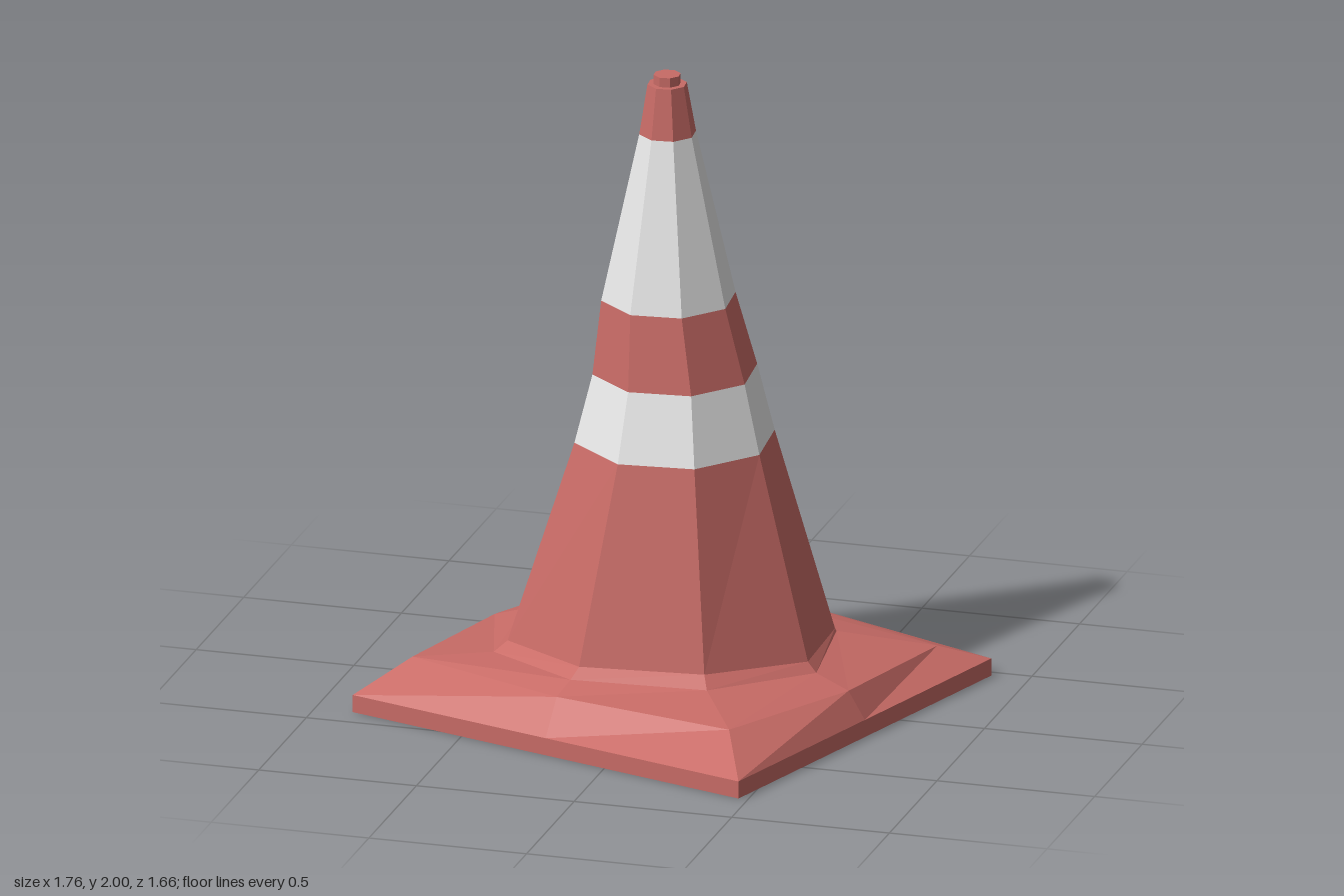
import * as THREE from 'three';

const red = new THREE.MeshStandardMaterial({ name: 'cone red', color: 0xc86b66, flatShading: true });
const white = new THREE.MeshStandardMaterial({ name: 'band white', color: 0xe8e8e8, flatShading: true });

const SIDES = 8;
const PHASE = 17 * Math.PI / 180;

// Horizontal octagon ring; corners line up with the turned base plate
function octagon(y, r, cx = -0.01, cz = -0.02) {
  return Array.from({ length: SIDES }, (_, k) => {
    const a = PHASE + k * Math.PI * 2 / SIDES;
    return [cx + r * Math.cos(a), y, cz + r * Math.sin(a)];
  });
}

// Skins a sequence of 8-point rings with flat faces
function loft(name, rings, material) {
  const pos = [];
  for (let i = 0; i < rings.length - 1; i++) {
    for (let k = 0; k < SIDES; k++) {
      const n = (k + 1) % SIDES;
      const a = rings[i][k], b = rings[i][n], c = rings[i + 1][k], d = rings[i + 1][n];
      pos.push(...a, ...c, ...b, ...b, ...c, ...d);
    }
  }
  const geo = new THREE.BufferGeometry();
  geo.setAttribute('position', new THREE.Float32BufferAttribute(pos, 3));
  geo.computeVertexNormals();
  const mesh = new THREE.Mesh(geo, material);
  mesh.name = name;
  return mesh;
}

// Base plate outline: edge middles and corners in turn
const OUTLINE = [[0.675, 0.18], [0.47, 0.83], [-0.205, 0.62], [-0.88, 0.41],
  [-0.675, -0.21], [-0.47, -0.83], [0.2, -0.69], [0.88, -0.47]];
const plate = (y, s = 1) => OUTLINE.map(([x, z]) => [x * s, y, z * s]);

// Worn, uneven rings where the plate rises to the cone
const shoulder = [[0.62, 0.14, 0.17], [0.38, 0.145, 0.63], [-0.2, 0.155, 0.52], [-0.73, 0.15, 0.28],
  [-0.62, 0.13, -0.22], [-0.39, 0.1, -0.72], [0.19, 0.125, -0.61], [0.73, 0.105, -0.4]];
const collar = [[0.5, 0.165, 0.11], [0.24, 0.18, 0.4], [-0.18, 0.185, 0.44], [-0.49, 0.17, 0.22],
  [-0.52, 0.165, -0.2], [-0.235, 0.16, -0.46], [0.15, 0.16, -0.495], [0.445, 0.162, -0.285]];
const foot = [[0.47, 0.195, 0.1], [0.22, 0.215, 0.36], [-0.165, 0.215, 0.4], [-0.455, 0.2, 0.19],
  [-0.485, 0.17, -0.19], [-0.23, 0.165, -0.455], [0.15, 0.165, -0.49], [0.44, 0.17, -0.285]];

export function createModel() {
  const group = new THREE.Group();
  group.name = 'trafficCone';

  // Cone rings at the colour boundaries
  const r1 = octagon(0.83, 0.31, 0.008, -0.03);
  const r2 = octagon(1.045, 0.255, 0.008, -0.033);
  const r3 = octagon(1.28, 0.208, -0.01, -0.025);
  const r4 = octagon(1.81, 0.088, -0.01, -0.017);
  const rim = octagon(1.97, 0.061, -0.01, -0.012);

  // Base with recessed underside and a lip around the opening
  group.add(loft('base', [
    octagon(0, 0.49, -0.01, -0.03), octagon(0, 0.54, -0.01, -0.03),
    octagon(0.03, 0.54, -0.01, -0.03),
    plate(0.03, 0.94), plate(0, 0.94), plate(0), plate(0.055), shoulder, collar, foot,
  ], red));

  // Striped body
  group.add(loft('lowerBody', [foot, r1], red));
  group.add(loft('lowerBand', [r1, r2], white));
  group.add(loft('middleBody', [r2, r3], red));
  group.add(loft('upperBand', [r3, r4], white));

  // Tip with a small stepped cap
  group.add(loft('tip', [r4, rim, octagon(1.97, 0.042, -0.01, -0.012),
    octagon(2, 0.042, -0.01, -0.012), octagon(2, 0, -0.01, -0.012)], red));

  // Hollow inside
  group.add(loft('cavity', [octagon(1.95, 0, -0.01, -0.015), octagon(1.95, 0.045, -0.01, -0.015),
    octagon(1.28, 0.185, -0.01, -0.025), octagon(0.83, 0.285, 0.008, -0.03),
    octagon(0.15, 0.455, -0.01, -0.04), octagon(0, 0.49, -0.01, -0.03)], red));

  return group;
}
